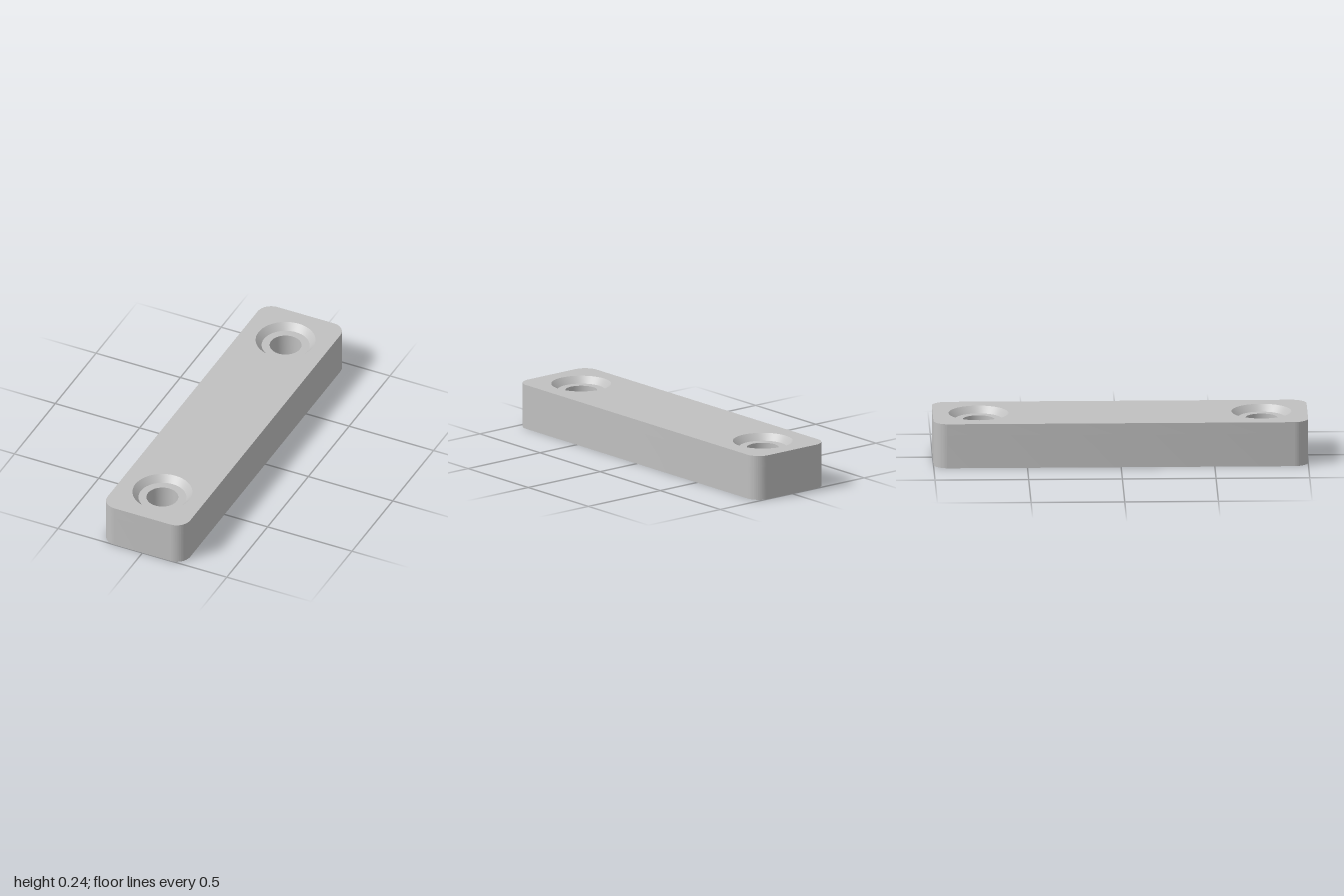
import * as THREE from 'three';
import { toCreasedNormals } from 'three/addons/utils/BufferGeometryUtils.js';

const HALF_W = 0.245, HALF_L = 1, HEIGHT = 0.242, CORNER = 0.08;
const WALL = 0.06, CEILING = 0.18, RIB = 0.03;
const HOLE_Z = 0.755, BOSS_R = 0.12, RIM_R = 0.16;
const SEG = 24;

function roundedRect(path, w, l, r) {
  path.absarc(w - r, l - r, r, 0, Math.PI / 2);
  path.absarc(-w + r, l - r, r, Math.PI / 2, Math.PI);
  path.absarc(-w + r, -l + r, r, Math.PI, Math.PI * 1.5);
  path.absarc(w - r, -l + r, r, Math.PI * 1.5, Math.PI * 2);
  path.closePath();
  return path;
}

function withScrewHoles(shape, r) {
  for (const s of [-1, 1]) shape.holes.push(new THREE.Path().absarc(0, s * HOLE_Z, r, 0, Math.PI * 2, true));
  return shape;
}

// Flat face at a height, looking up or down
function flatFace(shape, y, up) {
  return new THREE.ShapeGeometry(shape, SEG).rotateX(up ? -Math.PI / 2 : Math.PI / 2).translate(0, y, 0);
}

// Upright side faces of an extruded shape, without its end caps
function sideFaces(shape, y0, y1) {
  const solid = new THREE.ExtrudeGeometry(shape, { depth: y1 - y0, bevelEnabled: false, curveSegments: SEG });
  const { start, count } = solid.groups[1];
  const positions = solid.attributes.position.array.slice(start * 3, (start + count) * 3);
  const sides = new THREE.BufferGeometry();
  sides.setAttribute('position', new THREE.BufferAttribute(positions, 3));
  sides.rotateX(-Math.PI / 2).translate(0, y0, 0);
  return toCreasedNormals(sides, 0.5);
}

export function createModel() {
  const model = new THREE.Group();
  model.name = 'mountingBlock';
  const grey = new THREE.MeshStandardMaterial({ color: 0xc0c0c0 });
  grey.name = 'light grey plastic';

  const add = (name, geometry, x = 0, y = 0, z = 0) => {
    const mesh = new THREE.Mesh(geometry, grey);
    mesh.name = name;
    mesh.position.set(x, y, z);
    model.add(mesh);
  };

  const outline = () => roundedRect(new THREE.Shape(), HALF_W, HALF_L, CORNER);
  const inW = HALF_W - WALL, inL = HALF_L - WALL;

  // Hollow shell: walls, foot, top and inner ceiling
  const frame = outline();
  frame.holes.push(roundedRect(new THREE.Path(), inW, inL, 0.025));
  add('lowerWalls', sideFaces(frame, 0, CEILING));
  add('upperWalls', sideFaces(outline(), CEILING, HEIGHT));
  add('footRim', flatFace(frame, 0, false));
  add('topFace', flatFace(withScrewHoles(outline(), RIM_R), HEIGHT, true));
  const ceiling = withScrewHoles(roundedRect(new THREE.Shape(), inW, inL, 0.025), BOSS_R);
  add('innerCeiling', flatFace(ceiling, CEILING, false));

  // Countersunk screw holes, each running down through a round boss
  const profile = [[RIM_R, HEIGHT], [0.128, 0.207], [0.085, 0.207], [0.085, 0], [BOSS_R, 0], [BOSS_R, CEILING]]
    .map(([r, y]) => new THREE.Vector2(r, y));
  const screwHole = toCreasedNormals(new THREE.LatheGeometry(profile, SEG * 2), 0.4);
  for (const s of [-1, 1]) add('screwHole', screwHole, 0, 0, s * HOLE_Z);

  // Stiffening ribs underneath
  const rib = (name, x0, x1, z0, z1) =>
    add(name, new THREE.BoxGeometry(x1 - x0, CEILING, z1 - z0), (x0 + x1) / 2, CEILING / 2, (z0 + z1) / 2);
  const h = RIB / 2, bossEdge = BOSS_R - 0.001;
  rib('centreRib', -h, h, -HOLE_Z + bossEdge, HOLE_Z - bossEdge);
  rib('backEndRib', -h, h, -inL, -HOLE_Z - bossEdge);
  rib('frontEndRib', -h, h, HOLE_Z + bossEdge, inL);
  for (const [z, start] of [[-HOLE_Z, bossEdge], [-0.257, h], [0.257, h], [HOLE_Z, bossEdge]]) {
    rib('leftCrossRib', start, inW, z - h, z + h);
    rib('rightCrossRib', -inW, -start, z - h, z + h);
  }
  return model;
}
